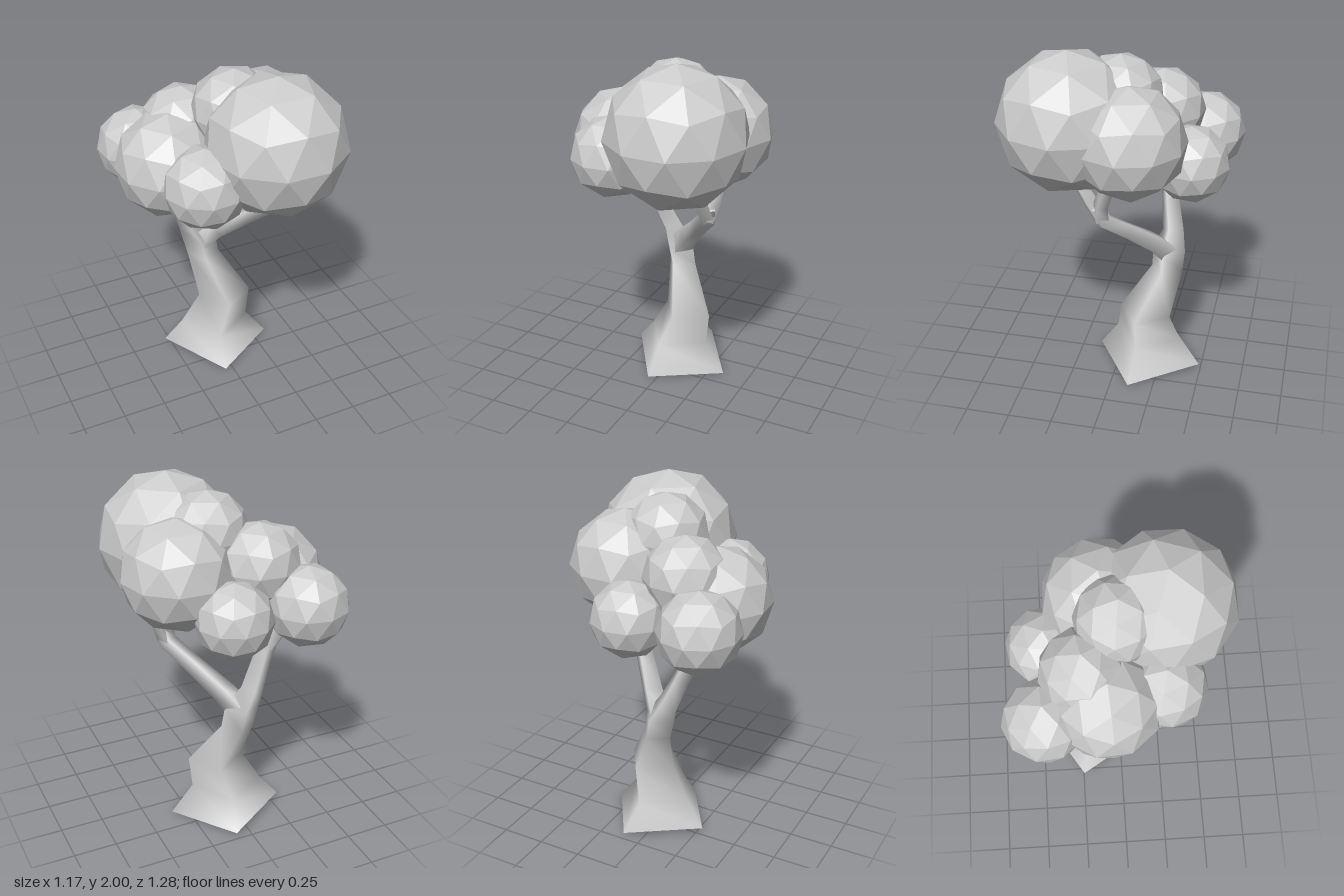
import * as THREE from 'three';

const bark = new THREE.MeshStandardMaterial({ color: 0xcccccc });
const leaf = new THREE.MeshStandardMaterial({ color: 0xcccccc, flatShading: true });

// Four-sided, smooth-shaded limb lofted through [x, y, z, radius] points.
// startNormal / upright control how the rings are tilted.
function limb(name, points, upright = 0, startNormal = null) {
  const centers = points.map(p => new THREE.Vector3(p[0], p[1], p[2]));
  const pos = [], index = [];
  const last = points.length - 1;
  const addRing = k => {
    const n = new THREE.Vector3();
    if (k === 0 && startNormal) n.set(...startNormal);
    else if (k < upright) n.set(0, 1, 0);
    else n.subVectors(centers[Math.min(k + 1, last)], centers[Math.max(k - 1, 0)]);
    n.normalize();
    const u = new THREE.Vector3(0.976, 0, 0.22);
    u.addScaledVector(n, -u.dot(n)).normalize();
    const v = new THREE.Vector3().crossVectors(n, u);
    for (let i = 0; i < 4; i++) {
      const a = i * Math.PI / 2;
      const p = centers[k].clone()
        .addScaledVector(u, Math.cos(a) * points[k][3])
        .addScaledVector(v, Math.sin(a) * points[k][3]);
      pos.push(p.x, p.y, p.z);
    }
  };
  for (let k = 0; k <= last; k++) addRing(k);
  for (let k = 0; k < last; k++) {
    for (let i = 0; i < 4; i++) {
      const a = k * 4 + i, b = k * 4 + (i + 1) % 4;
      index.push(a, b, a + 4, b, b + 4, a + 4);
    }
  }
  // Separate vertices keep the end caps crisp
  const cap = pos.length / 3;
  addRing(0);
  addRing(last);
  index.push(cap, cap + 2, cap + 1, cap, cap + 3, cap + 2);
  index.push(cap + 4, cap + 5, cap + 6, cap + 4, cap + 6, cap + 7);

  const geo = new THREE.BufferGeometry();
  geo.setAttribute('position', new THREE.Float32BufferAttribute(pos, 3));
  geo.setIndex(index);
  geo.computeVertexNormals();
  const mesh = new THREE.Mesh(geo, bark);
  mesh.name = name;
  return mesh;
}

// Faceted ball of leaves with a vertex at its top
function leafBall(name, x, y, z, r, turn) {
  const geo = new THREE.IcosahedronGeometry(r, 1);
  geo.rotateZ(-Math.atan(2 / (1 + Math.sqrt(5))));
  geo.rotateY(turn);
  const mesh = new THREE.Mesh(geo, leaf);
  mesh.position.set(x, y, z);
  mesh.name = name;
  return mesh;
}

export function createModel() {
  const tree = new THREE.Group();
  tree.name = 'tree';

  // Flared trunk running on into the right-hand branch
  const wood = new THREE.Group();
  wood.name = 'wood';
  wood.add(
    limb('trunk', [
      [0.025, 0.017, -0.175, 0.325],
      [0.015, 0.17, -0.17, 0.205],
      [0.08, 0.36, -0.155, 0.158],
      [-0.01, 0.62, -0.268, 0.095],
      [-0.035, 0.74, -0.272, 0.1],
      [-0.09, 0.84, -0.285, 0.066],
      [-0.16, 1.0, -0.255, 0.055],
      [-0.225, 1.14, -0.235, 0.055],
    ], 5, [0.054, 1, 0.054]),
    limb('leftBranch', [
      [-0.03, 0.71, -0.27, 0.08],
      [0.06, 0.83, -0.19, 0.065],
      [0.18, 0.96, -0.06, 0.055],
      [0.28, 1.07, 0.05, 0.053],
      [0.295, 1.16, 0.08, 0.055],
    ]),
    // Twigs reaching into the crown
    limb('leftFrontTwig', [[0.285, 1.08, 0.055, 0.05], [0.28, 1.18, 0.12, 0.045], [0.27, 1.32, 0.2, 0.04]]),
    limb('leftBackTwig', [[0.285, 1.08, 0.06, 0.05], [0.325, 1.18, 0.05, 0.045], [0.36, 1.32, 0.0, 0.04]]),
    limb('rightFrontTwig', [[-0.21, 1.08, -0.24, 0.05], [-0.25, 1.17, -0.18, 0.045], [-0.28, 1.3, -0.12, 0.04]]),
    limb('rightBackTwig', [[-0.21, 1.08, -0.24, 0.05], [-0.25, 1.17, -0.28, 0.045], [-0.3, 1.3, -0.36, 0.04]]),
  );
  tree.add(wood);

  // Crown of overlapping leaf balls
  const crown = new THREE.Group();
  crown.name = 'crown';
  crown.add(
    leafBall('leafBallFront', 0.19, 1.605, 0.255, 0.395, 0.3),
    leafBall('leafBallLeft', 0.275, 1.545, -0.095, 0.315, 0.9),
    leafBall('leafBallTop', 0.065, 1.715, -0.005, 0.24, 0.5),
    leafBall('leafBallCenter', -0.155, 1.575, -0.205, 0.235, 0.2),
    leafBall('leafBallRight', -0.29, 1.43, -0.08, 0.3, 0.7),
    leafBall('leafBallRightBack', -0.345, 1.38, -0.42, 0.23, 0.1),
    leafBall('leafBallBack', 0.08, 1.365, -0.4, 0.217, 1.1),
    leafBall('leafBallRightFront', -0.21, 1.43, 0.23, 0.232, 0.4),
  );
  tree.add(crown);

  return tree;
}
